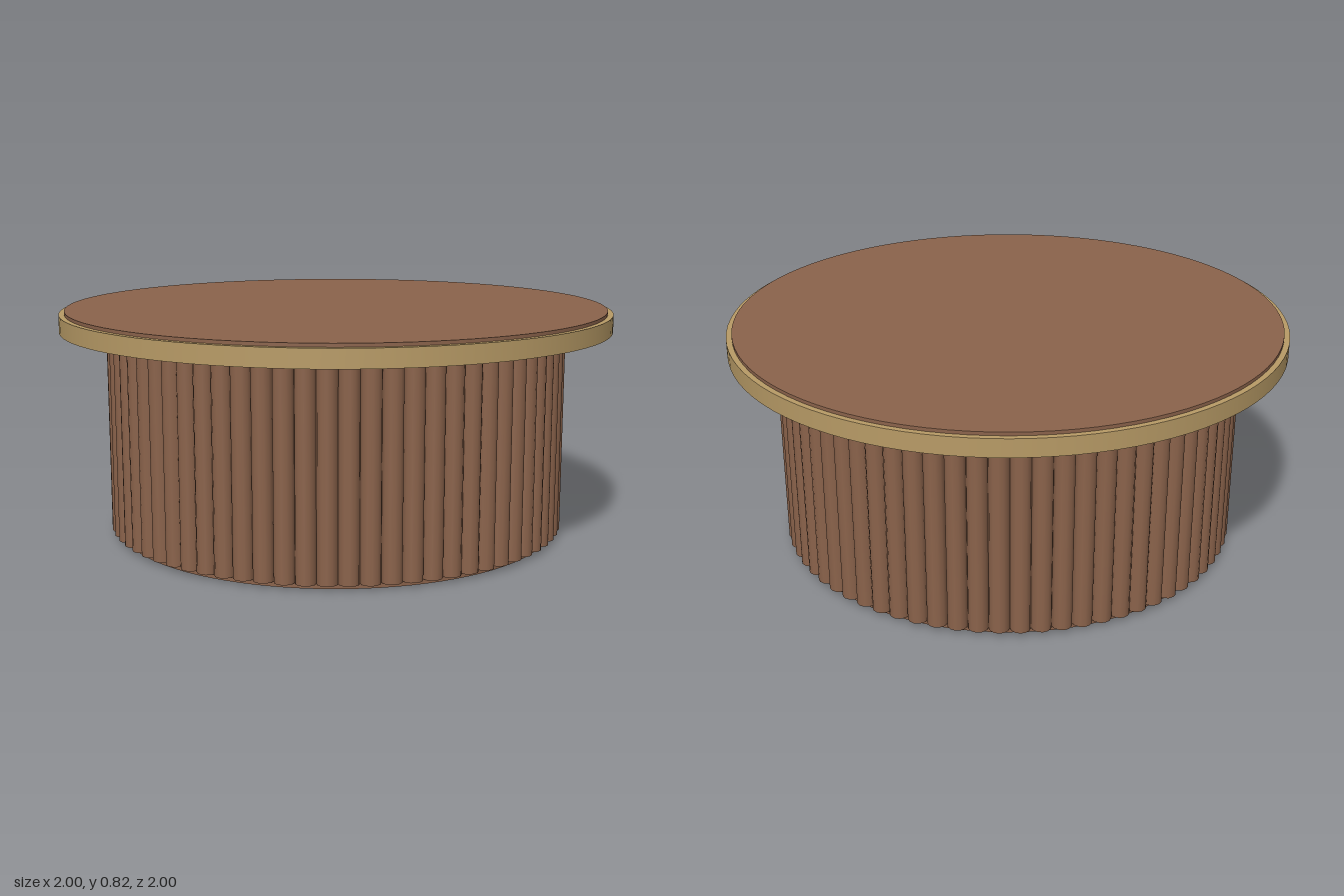
import * as THREE from 'three';

export function createModel() {
  const walnut = new THREE.MeshStandardMaterial({ color: 0x8b634b });
  walnut.name = 'walnut';
  const brass = new THREE.MeshStandardMaterial({ color: 0xb89b66 });
  brass.name = 'brass';

  const table = new THREE.Group();
  table.name = 'flutedRoundTable';

  // Upright disc or rod between two heights
  function cylinder(name, radius, bottom, top, material, sides, parent = table) {
    const geometry = new THREE.CylinderGeometry(radius, radius, top - bottom, sides);
    const mesh = new THREE.Mesh(geometry, material);
    mesh.position.y = (bottom + top) / 2;
    mesh.name = name;
    parent.add(mesh);
    return mesh;
  }

  // Drum base, brass-edged top and wooden inlay
  cylinder('drumCore', 0.8, 0, 0.75, walnut, 96);
  cylinder('brassTopRim', 1, 0.747, 0.81, brass, 96);
  cylinder('woodTopInlay', 0.98, 0.8, 0.822, walnut, 96);

  // Ring of half-round flutes around the drum
  const flutes = new THREE.Group();
  flutes.name = 'flutes';
  table.add(flutes);
  const count = 72;
  for (let i = 0; i < count; i++) {
    const angle = (i / count) * Math.PI * 2;
    const flute = cylinder('flute', 0.035, 0.018, 0.75, walnut, 12, flutes);
    flute.position.x = Math.sin(angle) * 0.8;
    flute.position.z = Math.cos(angle) * 0.8;
    flute.rotation.y = angle;
  }

  return table;
}
